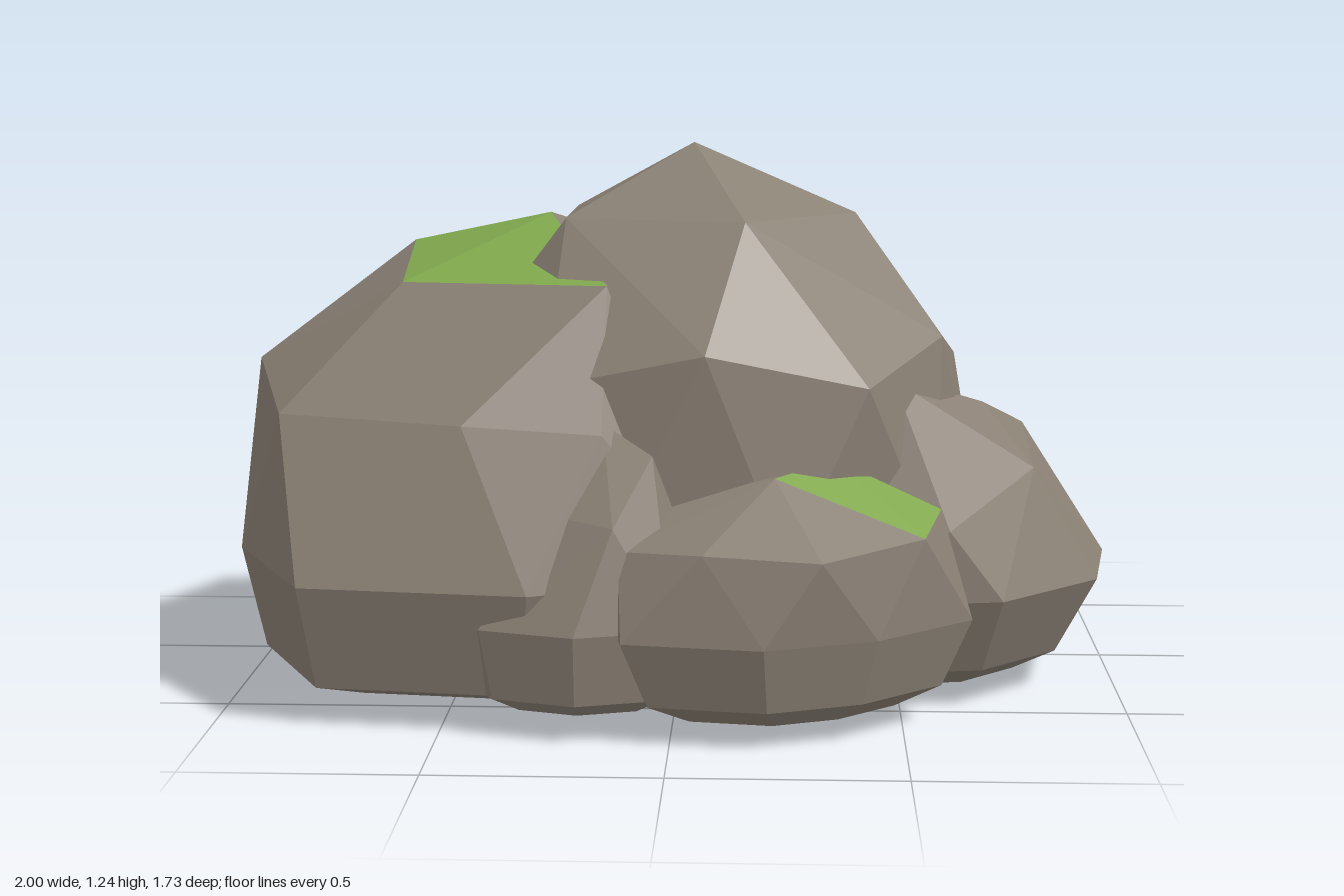
import * as THREE from 'three';
import { ConvexGeometry } from 'three/addons/geometries/ConvexGeometry.js';

// Plan outline as [x, z] points round an ellipse, turned by a fraction of one step
function ellipse(cx, cz, rx, rz, count, turn = 0) {
  return Array.from({ length: count }, (_, i) => {
    const a = ((i + turn) / count) * Math.PI * 2;
    return [cx + rx * Math.cos(a), cz + rz * Math.sin(a)];
  });
}

const atHeight = (outline, y) => outline.map(([x, z]) => [x, y, z]);

// Point-in-polygon test in plan, for a patch of [x, y, z] corners
function inside(x, z, patch) {
  let hit = false;
  patch.forEach(([xi, , zi], i) => {
    const [xj, , zj] = patch[(i + 1) % patch.length];
    if ((zi > z) !== (zj > z) && x < ((xj - xi) * (z - zi)) / (zj - zi) + xi) hit = !hit;
  });
  return hit;
}

// A faceted boulder: facet corners of the crown, the widest outline at height girth,
// and an underside that tapers in towards the foot.
// mossPatches lists the crown corners that bound each mossy patch.
function makeBoulder(name, materials, crown, outline, girth, foot, taper, mossPatches = []) {
  const points = crown.map((p) => new THREE.Vector3(...p));
  const cx = outline.reduce((s, p) => s + p[0], 0) / outline.length;
  const cz = outline.reduce((s, p) => s + p[1], 0) / outline.length;
  // Two shrinking rings under the widest one form the flattened underside
  for (const [y, scale] of [[girth, 1], [0.085, taper], [foot + 0.01, taper * 0.7]]) {
    for (const [x, z] of outline) points.push(new THREE.Vector3(cx + (x - cx) * scale, y, cz + (z - cz) * scale));
  }
  points.push(new THREE.Vector3(cx, foot, cz));

  // Facets within a mossy patch take the moss material
  const geometry = new ConvexGeometry(points);
  const patches = mossPatches.map((ids) => ids.map((id) => crown[id]));
  const pos = geometry.attributes.position, nor = geometry.attributes.normal;
  for (let i = 0; i < pos.count; i += 3) {
    const x = (pos.getX(i) + pos.getX(i + 1) + pos.getX(i + 2)) / 3;
    const z = (pos.getZ(i) + pos.getZ(i + 1) + pos.getZ(i + 2)) / 3;
    const mossy = nor.getY(i) > 0.2 && patches.some((patch) => inside(x, z, patch));
    geometry.addGroup(i, 3, mossy ? 1 : 0);
  }
  const mesh = new THREE.Mesh(geometry, materials);
  mesh.name = name;
  return mesh;
}

export function createModel() {
  const stone = new THREE.MeshStandardMaterial({ color: 0x8b8175 });
  stone.name = 'stone';
  const moss = new THREE.MeshStandardMaterial({ color: 0x80a84c });
  moss.name = 'moss';
  const materials = [stone, moss];
  const group = new THREE.Group();
  group.name = 'mossyRockPile';

  // Tall central boulder: peak, five-sided crown and alternating shoulder
  const centralCrown = [
    [0.03, 1.235, 0.13],
    ...atHeight(ellipse(0.04, 0.13, 0.36, 0.29, 5), 1.075),
    ...atHeight(ellipse(0.07, 0.13, 0.55, 0.5, 5, 0.25), 0.81),
    ...atHeight(ellipse(0.07, 0.13, 0.6, 0.52, 5, 0.75), 0.73),
  ];
  group.add(makeBoulder('centralBoulder', materials, centralCrown, ellipse(0.05, 0.12, 0.65, 0.53, 10), 0.35, 0, 0.9));

  // Broad boulder on the model's right
  const rightCrown = [
    [-0.31, 1.065, 0.03], [-0.1, 0.97, -0.22], [-0.65, 0.985, -0.11], [-0.62, 0.93, 0.31], [-0.15, 0.94, 0.46],
    [-0.985, 0.73, 0.12], [-0.87, 0.66, 0.5], [-0.45, 0.66, 0.65], [-0.15, 0.64, 0.64],
    [-0.8, 0.72, -0.34], [-0.45, 0.75, -0.42],
  ];
  const rightOutline = [[-1, 0.32], [-0.8, 0.72], [-0.3, 0.78], [0.1, 0.6], [0.1, -0.35], [-0.4, -0.5], [-0.82, -0.4], [-0.98, -0.08]];
  group.add(makeBoulder('rightBoulder', materials, rightCrown, rightOutline, 0.32, 0.02, 0.9, [[0, 1, 2, 3, 4]]));

  // Low boulder at the back
  const backCrown = [
    [-0.08, 0.82, -0.3], [0, 0.735, -0.53], [-0.34, 0.59, -0.81], [-0.4, 0.71, -0.5], [0.41, 0.585, -0.55],
    [0.31, 0.7, -0.3], [0.1, 0.57, -0.8], [0.55, 0.46, -0.25], [-0.68, 0.55, -0.55], [-0.87, 0.42, -0.37],
  ];
  const backOutline = [[0.57, -0.4], [0.32, -0.76], [-0.13, -0.865], [-0.53, -0.71], [-0.88, -0.42], [-0.7, 0.1], [0.4, 0.1]];
  group.add(makeBoulder('backBoulder', materials, backCrown, backOutline, 0.29, 0.025, 0.8, [[1, 2, 3], [0, 1, 4, 5]]));

  // Pointed boulder on the model's left
  const leftCrown = [
    [0.7, 0.635, 0.12], [0.56, 0.65, -0.06], [0.81, 0.555, -0.08], [0.8, 0.52, 0.33],
    [0.48, 0.73, 0.42], [0.74, 0.46, -0.23], [0.53, 0.48, -0.26], [0.6, 0.42, 0.56],
  ];
  const leftOutline = [[1, 0], [0.95, 0.31], [0.72, 0.54], [0.35, 0.6], [-0.05, 0.3], [0.1, -0.2], [0.76, -0.26]];
  group.add(makeBoulder('leftBoulder', materials, leftCrown, leftOutline, 0.26, 0.025, 0.78, [[0, 1, 2]]));

  // Low boulder at the front
  const frontCrown = [
    [0.35, 0.57, 0.52], [0.22, 0.55, 0.64], [0.54, 0.43, 0.68], [0.58, 0.47, 0.56],
    [0.32, 0.41, 0.84], [0.07, 0.42, 0.82], [-0.11, 0.41, 0.74], [0, 0.5, 0.58],
  ];
  const frontOutline = [[0.65, 0.58], [0.44, 0.77], [0.2, 0.865], [-0.1, 0.82], [-0.14, 0.62], [0.1, 0.3], [0.55, 0.3]];
  group.add(makeBoulder('frontBoulder', materials, frontCrown, frontOutline, 0.23, 0.03, 0.84, [[0, 1, 2, 3]]));

  // Small boulder wedged beside it
  const smallCrown = [[-0.15, 0.66, 0.6], [-0.04, 0.6, 0.66], [-0.12, 0.46, 0.75], [-0.28, 0.48, 0.68]];
  group.add(makeBoulder('smallFrontBoulder', materials, smallCrown, ellipse(-0.2, 0.6, 0.29, 0.215, 8), 0.24, 0.04, 0.88));

  return group;
}
